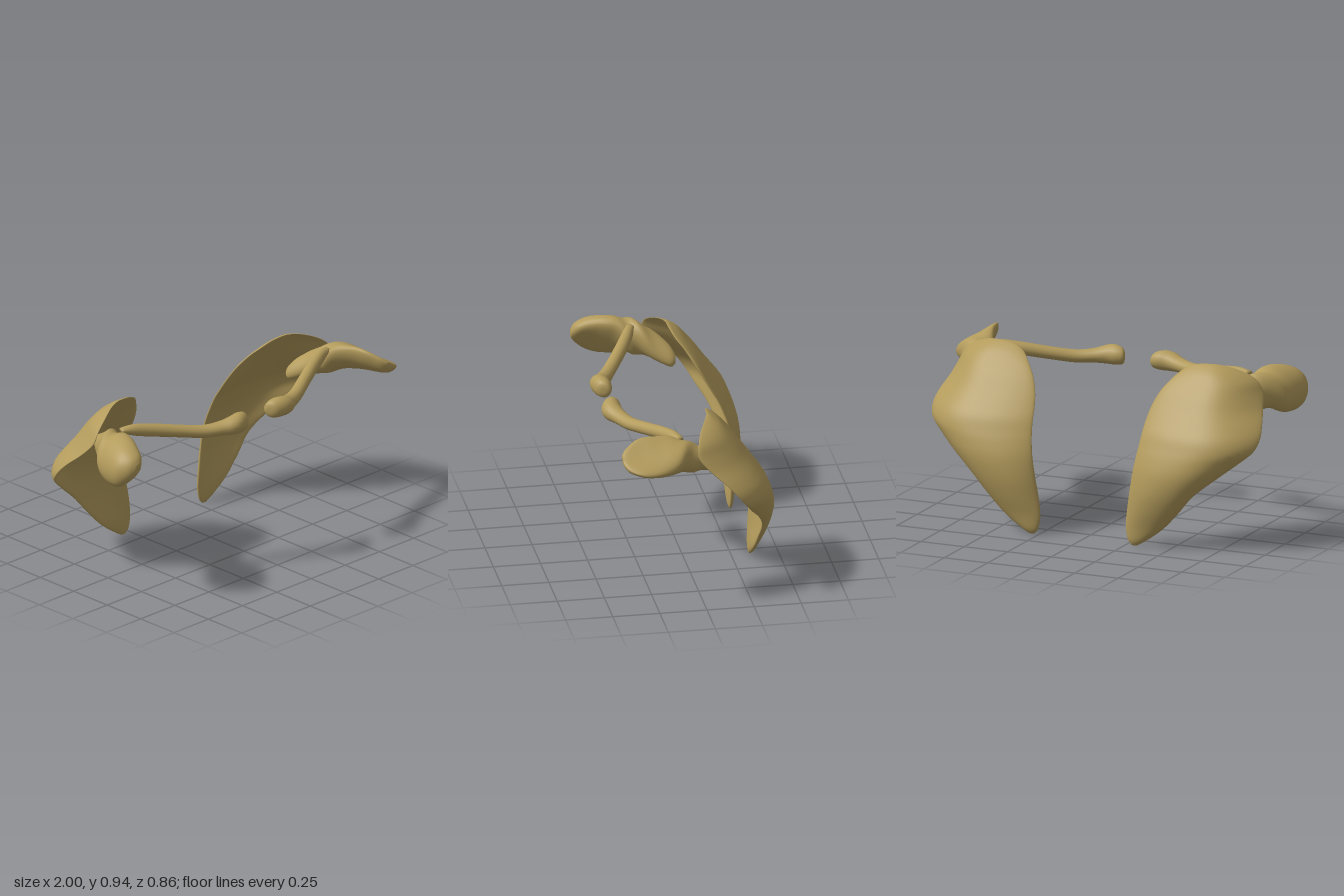
import * as THREE from 'three';

const material = new THREE.MeshStandardMaterial({ color: 0xb39b5c });

// Catmull-Rom interpolation of every column of a station table
function refine(rows, steps) {
  const out = [];
  const at = (i) => rows[Math.min(Math.max(i, 0), rows.length - 1)];
  for (let i = 0; i < rows.length - 1; i++) {
    for (let s = 0; s < steps; s++) {
      const t = s / steps;
      out.push(rows[i].map((b, k) => {
        const a = at(i - 1)[k], c = at(i + 1)[k], d = at(i + 2)[k];
        return b + 0.5 * t * (c - a + t * (2 * a - 5 * b + 4 * c - d + t * (3 * (b - c) + d - a)));
      }));
    }
  }
  out.push(rows[rows.length - 1]);
  return out;
}

// Smooth closed skin over a list of rings, mirrored to the chosen side
function loft(name, rings, side) {
  const n = rings[0].length, count = rings.length;
  const points = rings.flat();
  for (const ring of [rings[0], rings[count - 1]]) {
    points.push(ring.reduce((sum, p) => sum.add(p), new THREE.Vector3()).divideScalar(n));
  }
  points.forEach((p) => { p.x *= side; });
  const faces = [];
  for (let j = 0; j < n; j++) {
    const k = (j + 1) % n, last = (count - 1) * n;
    for (let i = 0; i < count - 1; i++) {
      const a = i * n + j, b = i * n + k;
      faces.push([a, b, b + n], [a, b + n, a + n]);
    }
    faces.push([count * n, k, j], [count * n + 1, last + j, last + k]);
  }
  // Turn the faces outward
  const volume = faces.reduce((v, [a, b, c]) =>
    v + points[a].dot(new THREE.Vector3().crossVectors(points[b], points[c])), 0);
  if (volume < 0) faces.forEach((f) => f.reverse());
  const geometry = new THREE.BufferGeometry().setFromPoints(points);
  geometry.setIndex(faces.flat());
  geometry.computeVertexNormals();
  const mesh = new THREE.Mesh(geometry, material);
  mesh.name = name;
  return mesh;
}

const loop = (n, fn) => Array.from({ length: n }, (_, i) => fn((i / n) * Math.PI * 2));

// Blade: y, inner x, outer x, inner z, back z, outer z, half thickness
const bladeRows = [
  [0.0, 0.28, 0.31, -0.35, -0.355, -0.35, 0.004],
  [0.03, 0.258, 0.36, -0.35, -0.37, -0.35, 0.016],
  [0.1, 0.246, 0.455, -0.35, -0.385, -0.35, 0.022],
  [0.2, 0.256, 0.55, -0.35, -0.413, -0.355, 0.026],
  [0.3, 0.272, 0.635, -0.355, -0.432, -0.36, 0.028],
  [0.4, 0.288, 0.755, -0.355, -0.434, -0.32, 0.028],
  [0.48, 0.3, 0.855, -0.34, -0.418, -0.265, 0.028],
  [0.54, 0.308, 0.92, -0.32, -0.397, -0.225, 0.028],
  [0.6, 0.314, 0.938, -0.295, -0.37, -0.18, 0.028],
  [0.66, 0.32, 0.925, -0.26, -0.327, -0.125, 0.028],
  [0.73, 0.335, 0.895, -0.22, -0.275, -0.045, 0.028],
  [0.8, 0.365, 0.87, -0.18, -0.225, 0.015, 0.028],
  [0.86, 0.41, 0.835, -0.14, -0.175, 0.015, 0.025],
  [0.905, 0.455, 0.77, -0.1, -0.135, -0.005, 0.02],
  [0.935, 0.515, 0.69, -0.08, -0.095, -0.04, 0.012],
  [0.945, 0.57, 0.63, -0.07, -0.075, -0.06, 0.004],
];

function blade(side) {
  const rings = refine(bladeRows, 4).map(([y, xi, xo, zi, zb, zo, h]) => loop(48, (t) => {
    // Bowed across its width, curling forward more tightly at the outer edge
    const u = -Math.cos(t), width = xo - xi, mid = zb + h;
    const [rise, power] = u < 0 ? [zi - mid, 2] : [zo - mid, 2.5];
    const slope = Math.sign(u) * rise * power * Math.abs(u) ** (power - 1) * 2 / width;
    const offset = h * Math.sin(t) / Math.hypot(1, slope);
    return new THREE.Vector3(
      xi + width * (u + 1) / 2 - slope * offset, y, mid + rise * Math.abs(u) ** power + offset);
  }));
  return loft('shoulderBlade', rings, side);
}

// Collar bone: x, y, z, half height, half depth
const collarRows = [
  [0.083, 0.81, 0.355, 0.015, 0.015],
  [0.095, 0.81, 0.355, 0.042, 0.038],
  [0.14, 0.813, 0.358, 0.053, 0.053],
  [0.19, 0.81, 0.355, 0.049, 0.05],
  [0.25, 0.803, 0.33, 0.038, 0.04],
  [0.34, 0.8, 0.288, 0.034, 0.034],
  [0.46, 0.82, 0.225, 0.034, 0.032],
  [0.58, 0.843, 0.165, 0.035, 0.031],
  [0.68, 0.861, 0.122, 0.031, 0.027],
  [0.75, 0.872, 0.098, 0.012, 0.02],
];

function collarBone(side) {
  const rings = refine(collarRows, 4).map(([x, y, z, h, d]) => loop(20, (t) =>
    new THREE.Vector3(x + 0.4 * d * Math.cos(t), y + h * Math.sin(t), z + d * Math.cos(t))));
  return loft('collarBone', rings, side);
}

// Shoulder tip: z, centre x, centre y, half width, half thickness, roll in degrees, cupping
const leftTipRows = [
  [-0.13, 0.7, 0.7, 0.03, 0.02, 50, 0],
  [-0.1, 0.715, 0.715, 0.065, 0.036, 48, 0],
  [-0.02, 0.765, 0.76, 0.085, 0.055, 40, 0],
  [0.06, 0.805, 0.795, 0.075, 0.085, 10, 0],
  [0.14, 0.845, 0.825, 0.115, 0.068, -25, 0.01],
  [0.24, 0.88, 0.832, 0.125, 0.048, -34, 0.026],
  [0.33, 0.893, 0.835, 0.12, 0.038, -33, 0.034],
  [0.4, 0.897, 0.833, 0.075, 0.03, -33, 0.02],
  [0.428, 0.895, 0.84, 0.03, 0.012, -33, 0],
];
const rightTipRows = [
  [-0.13, 0.69, 0.7, 0.03, 0.02, 50, 0],
  [-0.1, 0.705, 0.715, 0.065, 0.036, 48, 0],
  [-0.02, 0.755, 0.76, 0.085, 0.055, 40, 0],
  [0.06, 0.805, 0.785, 0.075, 0.1, 10, 0],
  [0.14, 0.855, 0.785, 0.125, 0.078, -50, -0.012],
  [0.22, 0.885, 0.785, 0.135, 0.07, -58, -0.025],
  [0.3, 0.91, 0.785, 0.115, 0.06, -58, -0.025],
  [0.36, 0.91, 0.79, 0.07, 0.042, -55, -0.01],
  [0.385, 0.905, 0.79, 0.025, 0.018, -55, 0],
];

function shoulderTip(side) {
  const rows = side > 0 ? leftTipRows : rightTipRows;
  const rings = refine(rows, 4).map(([z, x, y, w, h, roll, cup]) => loop(32, (t) => {
    const a = THREE.MathUtils.degToRad(roll), c = Math.cos(t);
    const u = w * c, v = h * Math.sin(t) + cup * (c * c - 0.5);
    return new THREE.Vector3(
      x + u * Math.cos(a) - v * Math.sin(a), y + u * Math.sin(a) + v * Math.cos(a), z);
  }));
  return loft('shoulderTip', rings, side);
}

export function createModel() {
  const model = new THREE.Group();
  model.name = 'shoulderGirdle';
  for (const [name, side] of [['leftShoulder', 1], ['rightShoulder', -1]]) {
    const shoulder = new THREE.Group();
    shoulder.name = name;
    shoulder.add(blade(side), collarBone(side), shoulderTip(side));
    model.add(shoulder);
  }
  return model;
}
